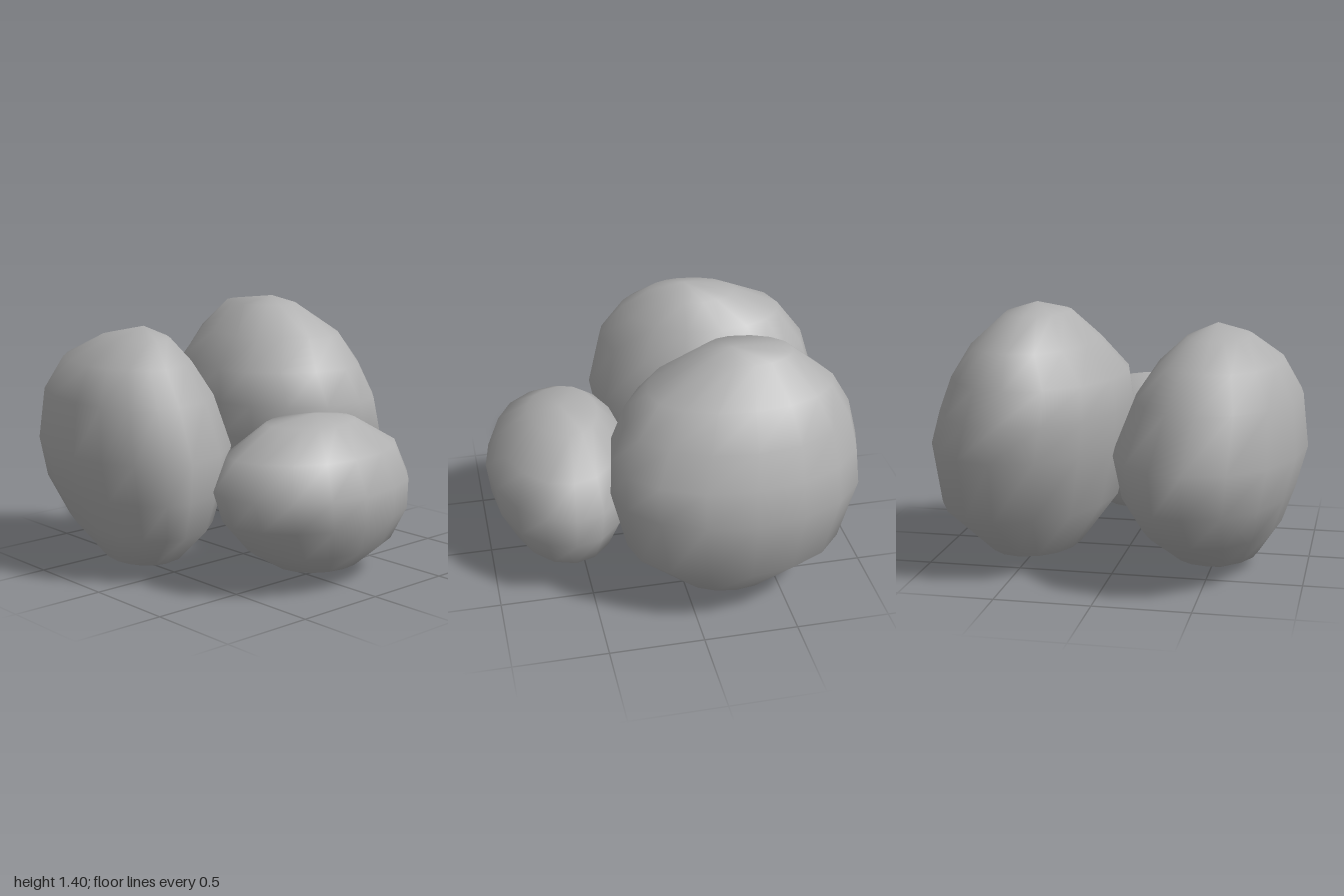
import * as THREE from 'three';

const SIDES = 16;

// One point of a lopsided oval in a unit square: four quarter ellipses meet where it is
// farthest back and front (at x = back, front) and farthest left and right (at z = left, right).
function ovalPoint(angle, [back, front, left, right]) {
  const c = Math.cos(angle);
  const s = Math.sin(angle);
  const midX = s < 0 ? back : front;
  const midZ = c < 0 ? left : right;
  return [midX + c * (c < 0 ? midX : 1 - midX), midZ + s * (s < 0 ? midZ : 1 - midZ)];
}

// Lofts the oval from the bottom point through levels [y, xMin, xMax, zMin, zMax] to the top point
function rockGeometry(oval, bottom, levels, top) {
  const positions = [...bottom];
  for (const [y, x0, x1, z0, z1] of levels) {
    for (let i = 0; i < SIDES; i++) {
      const [u, v] = ovalPoint((i / SIDES) * Math.PI * 2, oval);
      positions.push(x0 + u * (x1 - x0), y, z0 + v * (z1 - z0));
    }
  }
  positions.push(...top);

  const index = [];
  const last = levels.length - 1;
  const tip = 1 + levels.length * SIDES;
  const at = (level, i) => 1 + level * SIDES + (i % SIDES);
  for (let i = 0; i < SIDES; i++) {
    index.push(0, at(0, i), at(0, i + 1));
    for (let j = 0; j < last; j++) {
      index.push(at(j, i), at(j + 1, i), at(j, i + 1));
      index.push(at(j, i + 1), at(j + 1, i), at(j + 1, i + 1));
    }
    index.push(at(last, i), tip, at(last, i + 1));
  }

  const geometry = new THREE.BufferGeometry();
  geometry.setAttribute('position', new THREE.Float32BufferAttribute(positions, 3));
  geometry.setIndex(index);
  geometry.computeVertexNormals();
  return geometry;
}

export function createModel() {
  const group = new THREE.Group();
  group.name = 'rocks';
  const stone = new THREE.MeshStandardMaterial({ color: 0xb0b0b0 });
  stone.name = 'stone grey';

  function addRock(name, ...shape) {
    const mesh = new THREE.Mesh(rockGeometry(...shape), stone);
    mesh.name = name;
    group.add(mesh);
  }

  // Front rock, the broadest
  addRock('frontRock', [0.45, 0.6, 0.44, 0.64], [-0.31, 0.01, 0.55], [
    [0.07, -0.49, 0.03, 0.3, 0.74],
    [0.25, -0.79, 0.22, 0.14, 0.86],
    [0.45, -0.97, 0.28, 0.05, 0.93],
    [0.67, -0.99, 0.32, 0, 0.99],
    [0.95, -0.91, 0.25, 0.11, 0.96],
    [1.13, -0.77, 0.12, 0.23, 0.86],
    [1.25, -0.51, -0.03, 0.36, 0.69],
  ], [-0.22, 1.31, 0.51]);

  // Back rock, the tallest
  addRock('backRock', [0.5, 0.6, 0.45, 0.43], [-0.28, 0, -0.5], [
    [0.07, -0.52, 0.04, -0.72, -0.24],
    [0.34, -0.83, 0.32, -0.96, -0.04],
    [0.67, -0.93, 0.4, -1, 0.04],
    [0.85, -0.92, 0.39, -0.95, 0.05],
    [1.03, -0.88, 0.31, -0.88, 0.03],
    [1.2, -0.78, 0.19, -0.77, -0.12],
    [1.36, -0.57, -0.09, -0.59, -0.26],
  ], [-0.25, 1.4, -0.45]);

  // Side rock, small and long
  addRock('sideRock', [0.49, 0.43, 0.53, 0.54], [0.6, 0.06, 0.05], [
    [0.1, 0.42, 0.79, -0.25, 0.25],
    [0.2, 0.3, 0.88, -0.48, 0.41],
    [0.37, 0.22, 0.97, -0.57, 0.56],
    [0.53, 0.19, 0.99, -0.57, 0.61],
    [0.71, 0.25, 0.92, -0.49, 0.54],
    [0.85, 0.37, 0.75, -0.24, 0.29],
  ], [0.57, 0.89, 0]);

  return group;
}
